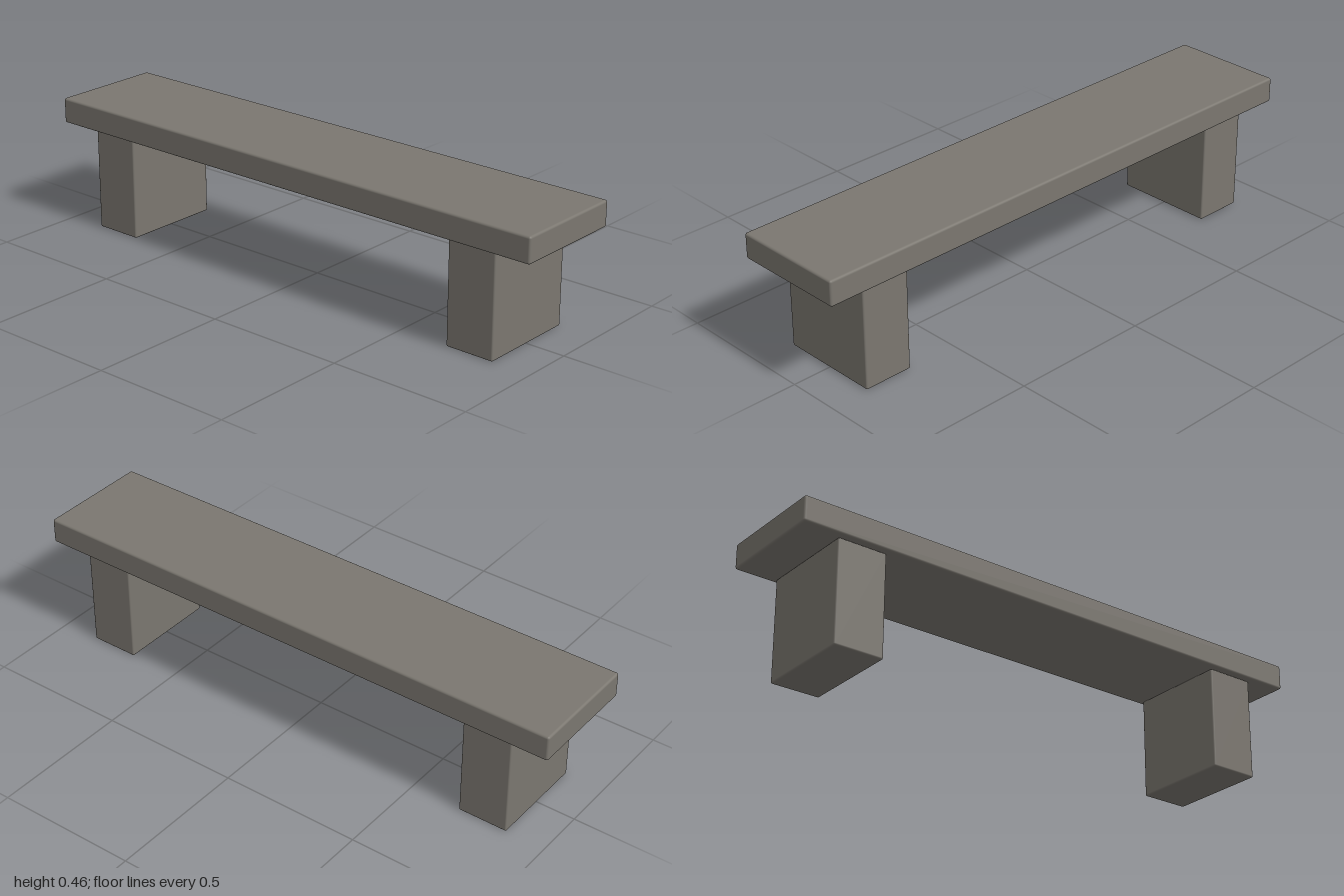
import * as THREE from 'three';
import { RoundedBoxGeometry } from 'three/addons/geometries/RoundedBoxGeometry.js';

export function createModel() {
  const bench = new THREE.Group();
  bench.name = 'bench';
  const stone = new THREE.MeshStandardMaterial({ color: 0x7b7770 });
  stone.name = 'grey stone';

  // Stone block with slightly eased edges, placed by its bottom height
  function block(name, width, height, depth, x, bottom, radius) {
    const mesh = new THREE.Mesh(new RoundedBoxGeometry(width, height, depth, 2, radius), stone);
    mesh.name = name;
    mesh.position.set(x, bottom + height / 2, 0);
    bench.add(mesh);
  }

  // Seat slab
  block('seat', 2, 0.09, 0.408, 0, 0.365, 0.008);

  // Two block legs
  for (const side of [-1, 1]) {
    block(side > 0 ? 'leftLeg' : 'rightLeg', 0.178, 0.364, 0.362, side * 0.772, 0, 0.006);
  }

  return bench;
}
